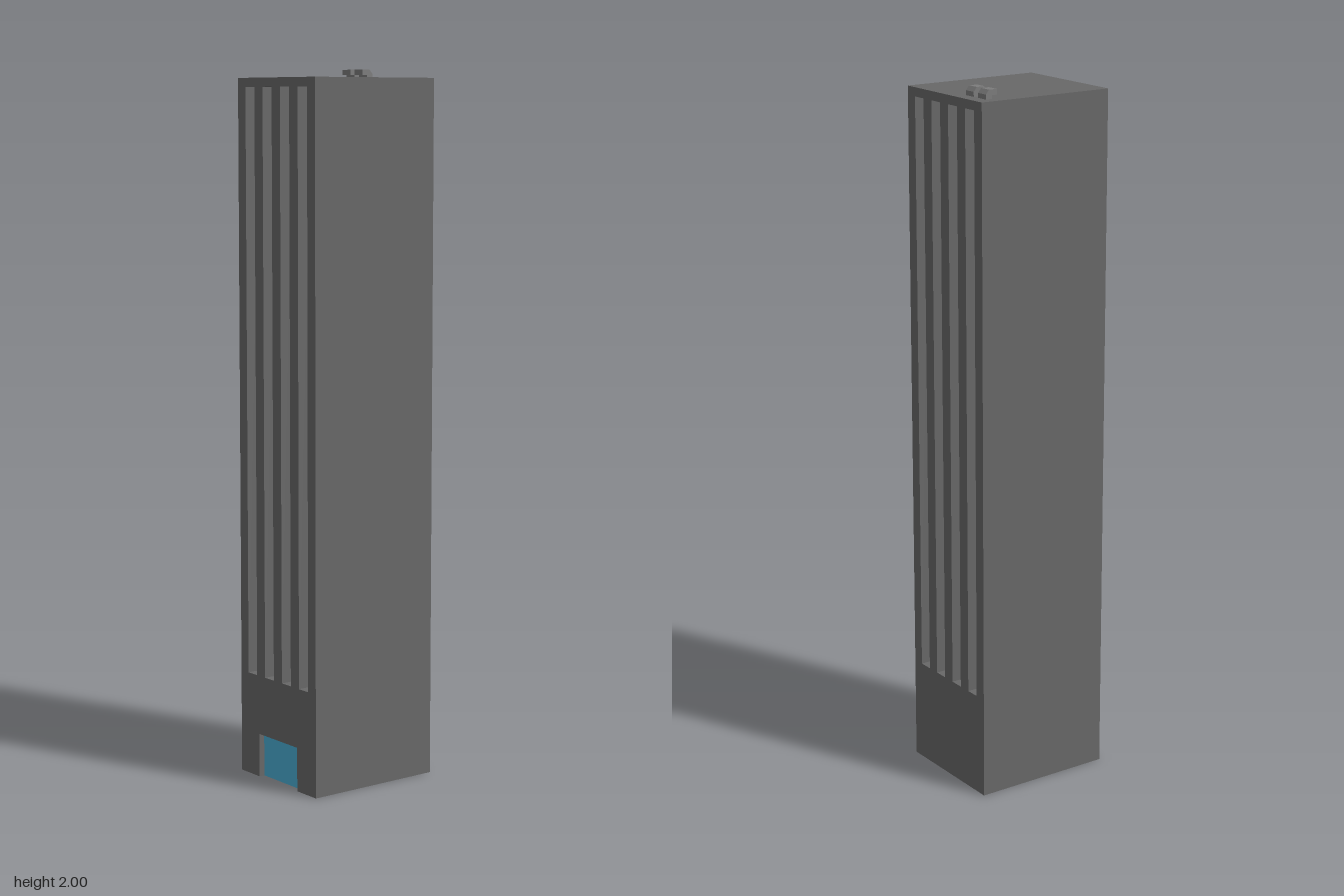
import * as THREE from 'three';

const HX = 0.206, HZ = 0.176, H = 1.975; // half width, half depth, roof height
const SLOT = { w: 0.042, y0: 0.295, y1: 1.95, depth: 0.045 };
const DOOR = { w: 0.18, y0: 0, y1: 0.125, depth: 0.017 };
const SLOT_CENTRES = [-0.12, -0.04, 0.04, 0.12];

const material = (color) =>
  new THREE.MeshStandardMaterial({ color, flatShading: true, side: THREE.DoubleSide });

export function createModel() {
  const concrete = material(0x686868);
  const glass = material(0x4bafd6);
  const metal = material(0x7c7c7c);
  const model = new THREE.Group();
  model.name = 'tower';

  const add = (parent, name, geometry, mat, x = 0, y = 0, z = 0, rx = 0, ry = 0) => {
    const mesh = new THREE.Mesh(geometry, mat);
    mesh.name = name;
    mesh.position.set(x, y, z);
    mesh.rotation.set(rx, ry, 0);
    parent.add(mesh);
    return mesh;
  };

  // Plain front and back walls and the flat roof; the shell is open below
  add(model, 'frontWall', new THREE.PlaneGeometry(HX * 2, H), concrete, 0, H / 2, HZ);
  add(model, 'backWall', new THREE.PlaneGeometry(HX * 2, H), concrete, 0, H / 2, -HZ, 0, Math.PI);
  add(model, 'roof', new THREE.PlaneGeometry(HX * 2, HZ * 2), concrete, 0, H, 0, -Math.PI / 2);

  // A recess: reveals around an opening in a wall facing local +z, with glass at the back
  const addRecess = (parent, name, cx, { w, y0, y1, depth }) => {
    const h = y1 - y0, cy = (y0 + y1) / 2;
    for (const s of [-1, 1])
      add(parent, name + 'Jamb', new THREE.PlaneGeometry(depth, h), concrete,
        cx + s * w / 2, cy, -depth / 2, 0, -s * Math.PI / 2);
    add(parent, name + 'Head', new THREE.PlaneGeometry(w, depth), concrete,
      cx, y1, -depth / 2, Math.PI / 2);
    if (y0 > 0)
      add(parent, name + 'Sill', new THREE.PlaneGeometry(w, depth), concrete,
        cx, y0, -depth / 2, -Math.PI / 2);
    add(parent, name + 'Glass', new THREE.PlaneGeometry(w, h), glass, cx, cy, -depth);
  };

  // Side walls with tall window strips; the left-over side (-x) also has the entrance
  for (const side of [1, -1]) {
    const wall = new THREE.Group();
    wall.name = side > 0 ? 'leftSide' : 'rightSide';
    wall.position.x = side * HX;
    wall.rotation.y = side * Math.PI / 2;
    model.add(wall);

    const outline = new THREE.Shape();
    outline.moveTo(-HZ, 0);
    if (side < 0) {
      outline.lineTo(-DOOR.w / 2, 0);
      outline.lineTo(-DOOR.w / 2, DOOR.y1);
      outline.lineTo(DOOR.w / 2, DOOR.y1);
      outline.lineTo(DOOR.w / 2, 0);
      addRecess(wall, 'entrance', 0, DOOR);
    }
    outline.lineTo(HZ, 0);
    outline.lineTo(HZ, H);
    outline.lineTo(-HZ, H);
    outline.closePath();

    for (const c of SLOT_CENTRES) {
      const a = c - SLOT.w / 2, b = c + SLOT.w / 2;
      outline.holes.push(new THREE.Path([
        new THREE.Vector2(a, SLOT.y0), new THREE.Vector2(a, SLOT.y1),
        new THREE.Vector2(b, SLOT.y1), new THREE.Vector2(b, SLOT.y0),
      ]));
      addRecess(wall, 'windowStrip', c, SLOT);
    }
    add(wall, 'sideWall', new THREE.ShapeGeometry(outline), concrete);
  }

  // Two hooked ventilation hoods on the roof
  const hood = new THREE.Shape([
    [0.15, H], [0.17, H], [0.17, 1.988], [0.16, 2], [0.135, 2], [0.135, 1.985], [0.15, 1.985],
  ].map(([x, y]) => new THREE.Vector2(x, y)));
  for (const z of [-0.143, -0.087])
    add(model, 'roofVent', new THREE.ExtrudeGeometry(hood, { depth: 0.036, bevelEnabled: false }),
      metal, 0, 0, z);

  return model;
}
